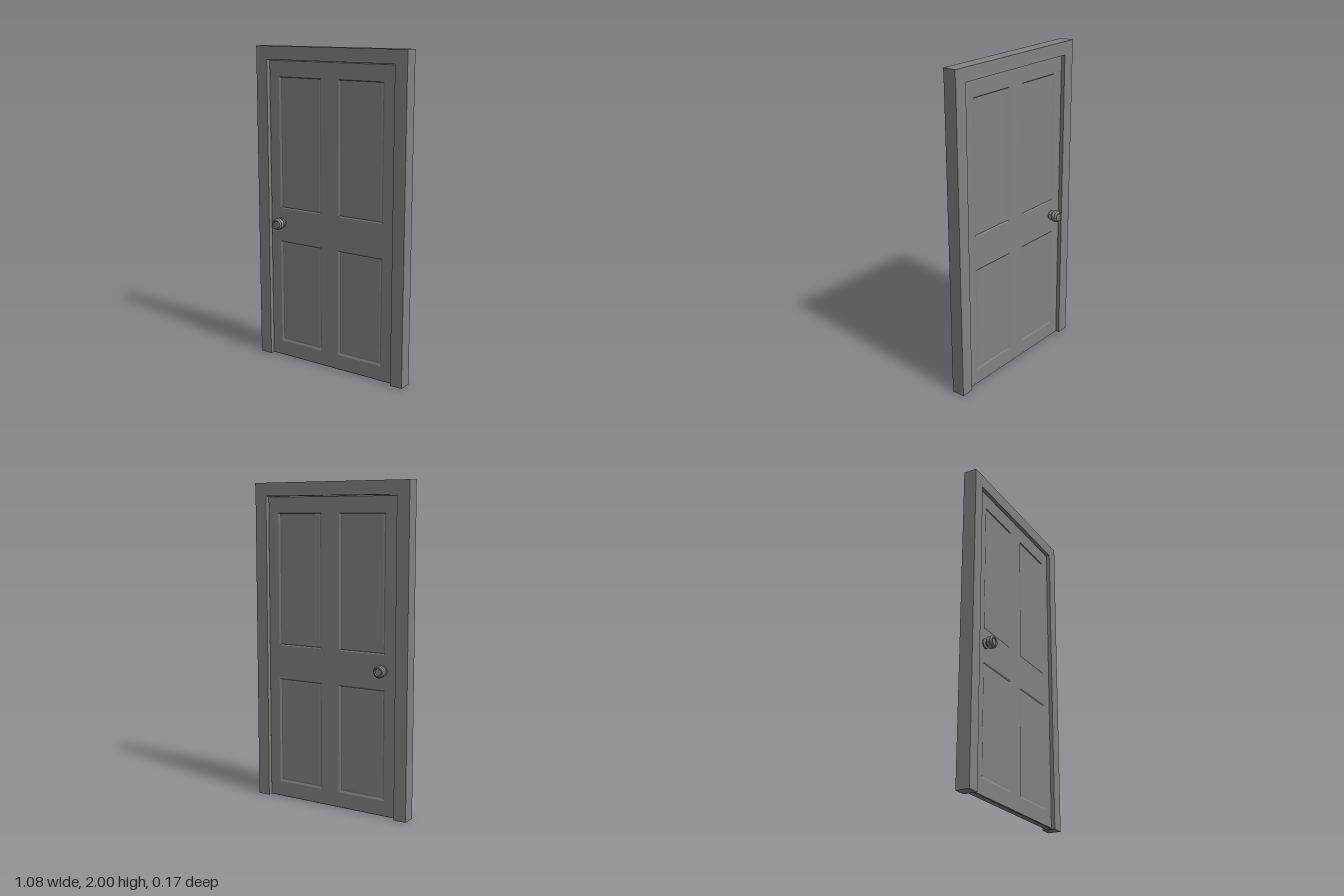
import * as THREE from 'three';
import { toCreasedNormals } from 'three/addons/utils/BufferGeometryUtils.js';

const HALF_LEAF = 0.022; // half thickness of the door leaf
// panel bounds, and moulding widths at bottom and top (the sides use SIDE_WIDTH)
const PANELS = [];
for (const [x0, x1] of [[-0.38, -0.062], [0.062, 0.38]]) {
  PANELS.push({ x0, x1, y0: 0.10, y1: 0.78, bottom: 0.022, top: 0.014 });
  PANELS.push({ x0, x1, y0: 0.99, y1: 1.815, bottom: 0.012, top: 0.008 });
}
const SIDE_WIDTH = 0.02;
// moulding steps: [fraction of moulding width, height relative to leaf face]
const MOULDING = [[0, 0], [0.6, -0.005], [1, -0.004]];

function corners({ x0, y0, x1, y1, bottom = 0, top = 0 }, t = 0) {
  const [l, r, b, u] = [x0 + t * SIDE_WIDTH, x1 - t * SIDE_WIDTH, y0 + t * bottom, y1 - t * top];
  return [[l, b], [r, b], [r, u], [l, u]];
}

// Rectangular moulding stepping inward to a flat field, facing +z
function panelGeometry(panel) {
  const pos = [];
  const quad = (a, b, c, d) => pos.push(...a, ...b, ...c, ...a, ...c, ...d);
  const rings = MOULDING.map(([t, z]) => corners(panel, t).map(([x, y]) => [x, y, HALF_LEAF + z]));
  for (let r = 0; r < rings.length - 1; r++) {
    for (let i = 0; i < 4; i++) {
      const j = (i + 1) % 4;
      quad(rings[r][i], rings[r][j], rings[r + 1][j], rings[r + 1][i]);
    }
  }
  quad(...rings[rings.length - 1]);
  const geo = new THREE.BufferGeometry();
  geo.setAttribute('position', new THREE.Float32BufferAttribute(pos, 3));
  geo.computeVertexNormals();
  return geo;
}

export function createModel() {
  const model = new THREE.Group();
  model.name = 'door';
  const material = new THREE.MeshStandardMaterial({ color: 0x828282 });

  const add = (parent, name, geo, x = 0, y = 0, z = 0) => {
    const mesh = new THREE.Mesh(geo, material);
    mesh.name = name;
    mesh.position.set(x, y, z);
    parent.add(mesh);
    return mesh;
  };

  // Frame: two jambs under a head that overhangs the left jamb a little
  const frame = new THREE.Group();
  frame.name = 'frame';
  add(frame, 'rightJamb', new THREE.BoxGeometry(0.081, 1.918, 0.084), -0.4985, 0.959);
  add(frame, 'leftJamb', new THREE.BoxGeometry(0.08, 1.918, 0.084), 0.497, 0.959);
  add(frame, 'head', new THREE.BoxGeometry(1.078, 0.082, 0.084), 0, 1.959);
  model.add(frame);

  // Leaf: slab with bevelled edges and four openings, filled by moulded panels on both faces
  const leaf = new THREE.Group();
  leaf.name = 'leaf';
  const toPath = (rect, Type) => new Type(corners(rect).map(([x, y]) => new THREE.Vector2(x, y)));
  const slab = toPath({ x0: -0.451, y0: 0.006, x1: 0.451, y1: 1.912 }, THREE.Shape);
  slab.holes = PANELS.map((panel) => toPath(panel, THREE.Path));
  const bevel = 0.004;
  const slabGeo = new THREE.ExtrudeGeometry(slab, {
    depth: 2 * (HALF_LEAF - bevel), bevelThickness: bevel, bevelSize: 0.003, bevelSegments: 1,
  });
  add(leaf, 'slab', slabGeo, 0, 0, bevel - HALF_LEAF);
  for (const panel of PANELS) {
    const geo = panelGeometry(panel);
    add(leaf, 'frontPanel', geo);
    // the panels mirror across x = 0, so half a turn lands each on an opening
    add(leaf, 'backPanel', geo).rotation.y = Math.PI;
  }
  model.add(leaf);

  // Knobs: rose, neck and chamfered, dished grip turned about the handle axis
  const profile = [
    [0, 0], [0.030, 0], [0.030, 0.005], [0.026, 0.009], [0.017, 0.011], [0.017, 0.023],
    [0.030, 0.023], [0.036, 0.028], [0.037, 0.053], [0.030, 0.064],
    [0.024, 0.065], [0.020, 0.059], [0, 0.059],
  ].map(([r, h]) => new THREE.Vector2(r, h));
  const knobGeo = toCreasedNormals(new THREE.LatheGeometry(profile, 20), 0.45);
  for (const side of [1, -1]) {
    const knob = add(model, side > 0 ? 'frontKnob' : 'backKnob', knobGeo, -0.368, 0.895, side * HALF_LEAF);
    knob.rotation.x = side * Math.PI / 2;
  }
  return model;
}
